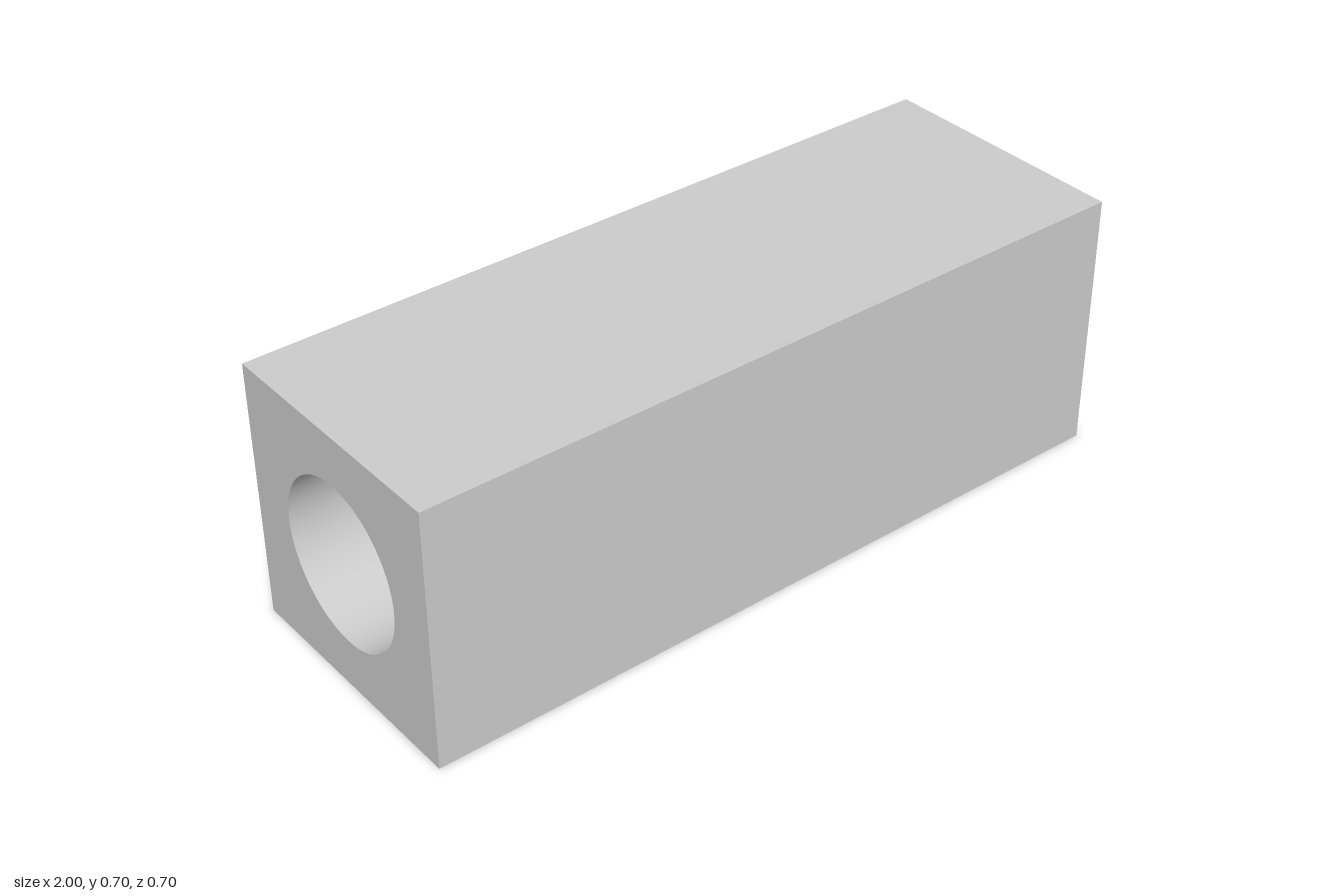
import * as THREE from 'three';
import { toCreasedNormals } from 'three/addons/utils/BufferGeometryUtils.js';

const LENGTH = 2;
const SIDE = 0.7;
const BORE_RADIUS = 0.215;

export function createModel() {
  const group = new THREE.Group();
  group.name = 'boredBlock';

  // Square section with a round through hole
  const h = SIDE / 2;
  const section = new THREE.Shape([
    new THREE.Vector2(-h, -h),
    new THREE.Vector2(h, -h),
    new THREE.Vector2(h, h),
    new THREE.Vector2(-h, h),
  ]);
  section.holes.push(new THREE.Path().absarc(0, 0, BORE_RADIUS, 0, Math.PI * 2, true));

  // Extrude along the length, then lay it along x and stand it on the ground
  const extruded = new THREE.ExtrudeGeometry(section, {
    depth: LENGTH,
    bevelEnabled: false,
    curveSegments: 48,
  });
  extruded.translate(0, 0, -LENGTH / 2);
  extruded.rotateY(Math.PI / 2);
  extruded.translate(0, h, 0);

  // Smooth bore, sharp outer edges
  const geometry = toCreasedNormals(extruded, Math.PI / 6);
  const block = new THREE.Mesh(geometry, new THREE.MeshStandardMaterial({ color: 0xcccccc }));
  block.name = 'block';
  group.add(block);

  return group;
}
